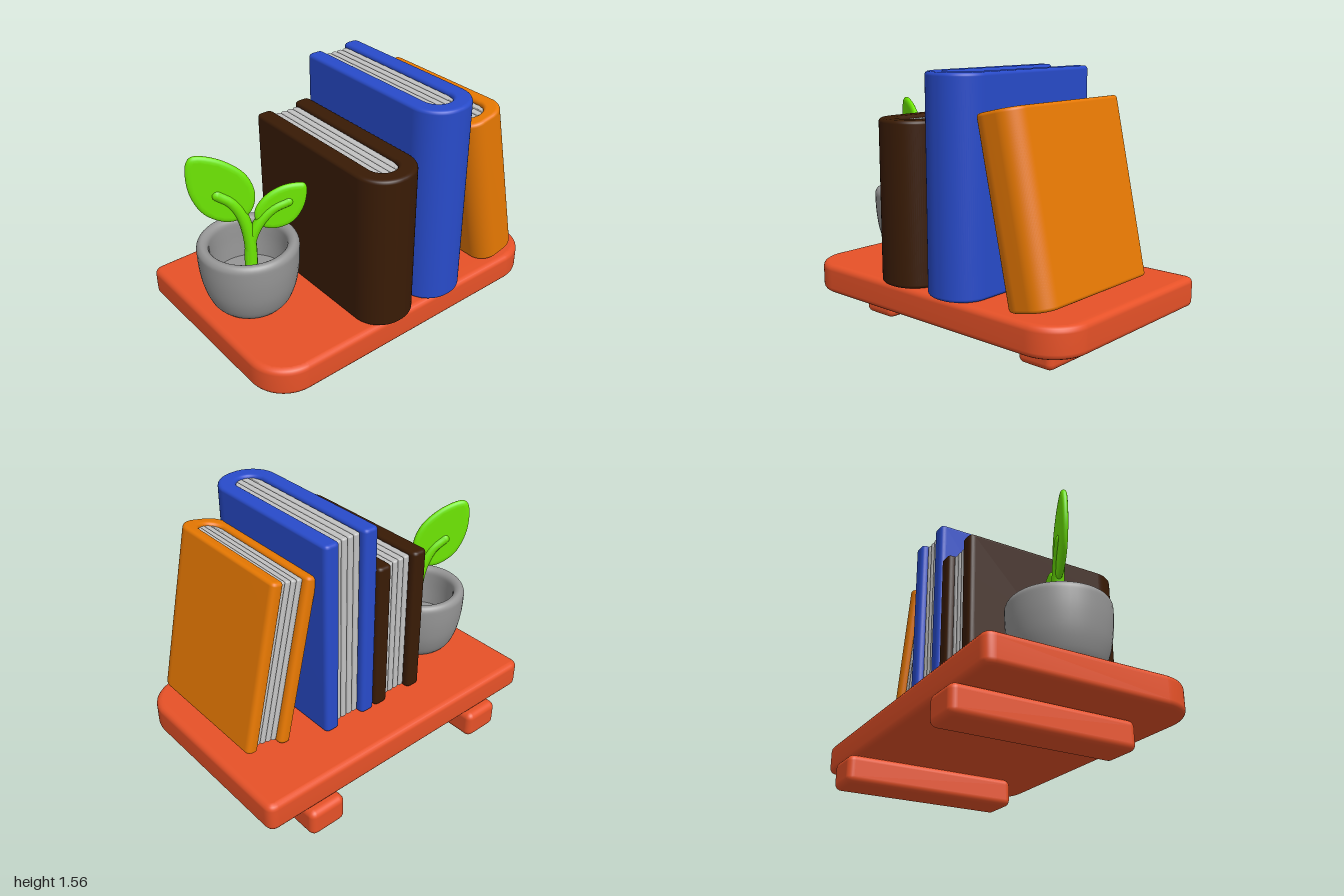
import * as THREE from 'three';
import { mergeVertices } from 'three/addons/utils/BufferGeometryUtils.js';
import { RoundedBoxGeometry } from 'three/addons/geometries/RoundedBoxGeometry.js';

const mat = (name, color) => {
  const m = new THREE.MeshStandardMaterial({ color });
  m.name = name;
  return m;
};

// Area-weighted smooth normals: bevels look round, large faces stay flat
const smooth = g => {
  g.deleteAttribute('uv');
  g.deleteAttribute('normal');
  const merged = mergeVertices(g, 1e-4);
  merged.computeVertexNormals();
  return merged;
};

// Upright bevelled prism from y = 0 to h; a shape's y is minus z
const prism = (shape, h, bevel) => {
  const g = new THREE.ExtrudeGeometry(shape, {
    depth: h - 2 * bevel, bevelThickness: bevel, bevelSize: bevel,
    bevelOffset: -bevel, bevelSegments: 4, curveSegments: 12,
  });
  return smooth(g.translate(0, 0, bevel).rotateX(-Math.PI / 2));
};

export function createModel() {
  const terracotta = mat('terracotta red', 0xe85228);
  const brown = mat('dark brown', 0x391b05);
  const blue = mat('book blue', 0x284bca);
  const orange = mat('book orange', 0xea7a02);
  const paper = mat('paper grey', 0xc2c2c2);
  const clay = mat('pot grey', 0x969696);
  const green = mat('leaf green', 0x76f803);

  const model = new THREE.Group();
  model.name = 'bookshelf';
  const add = (parent, name, geometry, material) => {
    const mesh = new THREE.Mesh(geometry, material);
    mesh.name = name;
    parent.add(mesh);
    return mesh;
  };

  // Shelf board with large front corners
  const d = 0.647, r = 0.23, q = 0.06;
  const board = new THREE.Shape();
  board.moveTo(-1 + q, d);
  board.quadraticCurveTo(-1, d, -1, d - q);
  board.absarc(-1 + r, -d + r, r, Math.PI, 1.5 * Math.PI, false);
  board.absarc(1 - r, -d + r, r, 1.5 * Math.PI, 2 * Math.PI, false);
  board.lineTo(1, d - q);
  board.quadraticCurveTo(1, d, 1 - q, d);
  add(model, 'shelfBoard', prism(board, 0.178, 0.035), terracotta).position.y = 0.171;

  // Brackets under the shelf
  for (const side of [-1, 1]) {
    const bracket = add(model, side > 0 ? 'leftBracket' : 'rightBracket',
      new RoundedBoxGeometry(0.24, 0.172, 1.09, 3, 0.04), terracotta);
    bracket.position.set(side * 0.632, 0.086, -0.145);
  }

  // Book: U-shaped cover wrapped round a block of four page bundles
  const book = (name, material, { a, t, back, front, radius, h }) => {
    const group = new THREE.Group();
    group.name = name;
    const i = a - t, c = -(front - t - i), e = 0.035;
    const cover = new THREE.Shape();
    cover.moveTo(-a + e, -back);
    cover.quadraticCurveTo(-a, -back, -a, -back - e);
    cover.absarc(-a + radius, -front + radius, radius, Math.PI, 1.5 * Math.PI, false);
    cover.absarc(a - radius, -front + radius, radius, 1.5 * Math.PI, 2 * Math.PI, false);
    cover.lineTo(a, -back - e);
    cover.quadraticCurveTo(a, -back, a - e, -back);
    cover.lineTo(i + e, -back);
    cover.quadraticCurveTo(i, -back, i, -back - e);
    cover.absarc(0, c, i, 0, -Math.PI, true);
    cover.lineTo(-i, -back - e);
    cover.quadraticCurveTo(-i, -back, -i - e, -back);
    add(group, name + 'Cover', prism(cover, h, 0.02), material);

    // Bundles with rounded outer edges, ending on the inner curve of the spine
    const bundles = 4, step = 2 * i / bundles, round = step * 0.48, edge = -back - 0.035;
    for (let k = 0; k < bundles; k++) {
      const x0 = -i + k * step, x1 = x0 + step;
      const shape = new THREE.Shape();
      shape.moveTo(x0 + round, edge);
      shape.quadraticCurveTo(x0, edge, x0, edge - round);
      for (let j = 0; j <= 4; j++) {
        const x = x0 + step * j / 4;
        shape.lineTo(x, c - Math.sqrt(Math.max(0, i * i - x * x)) - 0.006);
      }
      shape.lineTo(x1, edge - round);
      shape.quadraticCurveTo(x1, edge, x1 - round, edge);
      add(group, name + 'Pages' + (k + 1), prism(shape, h - 0.036, 0.011), paper).position.y = 0.018;
    }
    model.add(group);
    return group;
  };
  const big = { a: 0.184, t: 0.1, back: -0.385, front: 0.688, radius: 0.175 };
  book('brownBook', brown, { ...big, h: 0.942 }).position.set(-0.168, 0.352, 0);
  book('blueBook', blue, { ...big, h: 1.213 }).position.set(0.208, 0.352, 0);
  const tilt = 0.222, half = 0.152;
  const leaning = book('leaningBook', orange,
    { a: half, t: 0.076, back: -0.297, front: 0.617, radius: 0.115, h: 1.03 });
  leaning.position.set(0.588 + half * Math.cos(tilt), 0.346 + half * Math.sin(tilt), 0);
  leaning.rotation.z = tilt;

  // Plant pot, hollow down to a deep floor
  const plant = new THREE.Group();
  plant.name = 'pottedPlant';
  plant.position.set(-0.687, 0, -0.025);
  model.add(plant);
  const wall = new THREE.SplineCurve([
    [0.2, 0.35], [0.235, 0.395], [0.268, 0.49], [0.285, 0.6], [0.29, 0.7], [0.287, 0.738],
    [0.268, 0.76], [0.243, 0.757], [0.224, 0.735], [0.22, 0.69], [0.218, 0.6], [0.212, 0.49],
  ].map(p => new THREE.Vector2(...p))).getPoints(44);
  add(plant, 'pot', new THREE.LatheGeometry([new THREE.Vector2(0, 0.35), ...wall], 48), clay);
  add(plant, 'potFloor', new THREE.CircleGeometry(0.22, 40).rotateX(-Math.PI / 2), clay).position.y = 0.5;

  // Sprout turned about the pot's axis
  const sprout = new THREE.Group();
  sprout.name = 'sprout';
  sprout.rotation.y = -0.43;
  plant.add(sprout);
  const local = x => (x + 0.69) / Math.cos(0.43);

  // Leaf: closed outline with a soft tip and thin domed edges
  const leaf = (name, outline) => {
    const points = outline.map(p => new THREE.Vector3(local(p[0]), p[1], 0));
    const curve = new THREE.CatmullRomCurve3(points, true);
    const shape = new THREE.Shape(curve.getPoints(56).slice(0, -1).map(p => new THREE.Vector2(p.x, p.y)));
    const g = new THREE.ExtrudeGeometry(shape, {
      depth: 0.006, bevelThickness: 0.016, bevelSize: 0.03, bevelOffset: -0.03, bevelSegments: 4,
    });
    add(sprout, name, smooth(g.translate(0, 0, -0.003)), green);
  };
  leaf('tallLeaf', [[-0.935, 1.318], [-0.957, 1.29], [-0.968, 1.2], [-0.953, 1.08], [-0.89, 0.955],
    [-0.77, 0.893], [-0.67, 0.935], [-0.638, 1.05], [-0.68, 1.18], [-0.79, 1.28], [-0.9, 1.322]]);
  leaf('shortLeaf', [[-0.388, 1.076], [-0.42, 1.084], [-0.5, 1.077], [-0.585, 1.03], [-0.645, 0.94],
    [-0.635, 0.855], [-0.56, 0.812], [-0.46, 0.835], [-0.395, 0.93], [-0.377, 1.05]]);

  // Stems with rounded tips
  const stem = (name, points, radius) => {
    const path = points.map(p => new THREE.Vector3(local(p[0]), p[1], 0));
    add(sprout, name, new THREE.TubeGeometry(new THREE.CatmullRomCurve3(path), 20, radius, 12), green);
    add(sprout, name + 'Tip', new THREE.SphereGeometry(radius, 12, 8), green).position.copy(path.at(-1));
  };
  stem('tallStem', [[-0.68, 0.5], [-0.68, 0.76], [-0.71, 0.92], [-0.76, 1.02], [-0.825, 1.075]], 0.035);
  stem('shortStem', [[-0.69, 0.5], [-0.67, 0.76], [-0.62, 0.87], [-0.55, 0.945], [-0.475, 0.977]], 0.032);

  return model;
}
